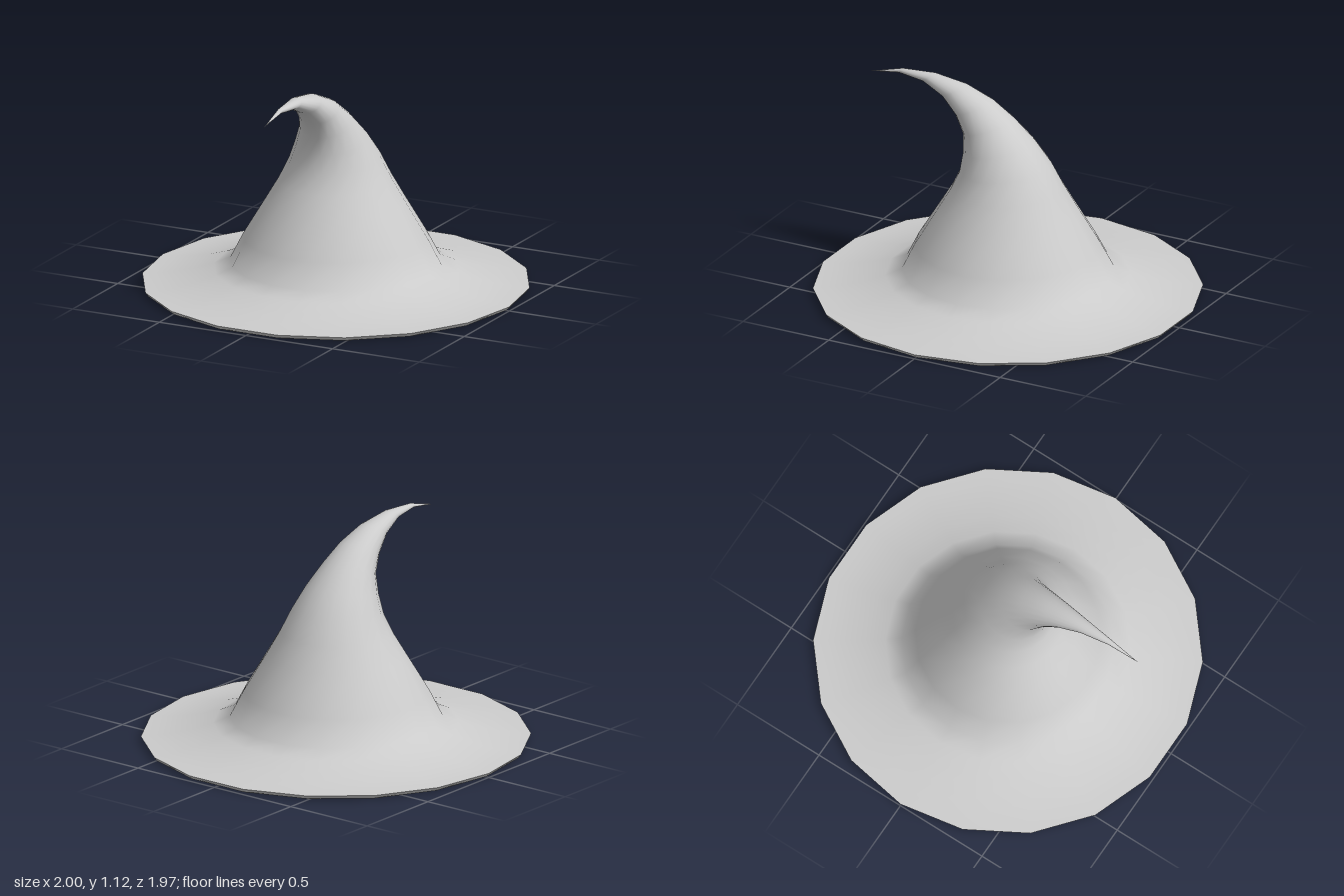
import * as THREE from 'three';

const SIDES = 18;

// Skin a stack of rings; each ring is [backZ, backY, frontZ, frontY], its diameter in the side plane
function skin(rings) {
  const positions = [], index = [];
  for (const [bz, by, fz, fy] of rings) {
    const cz = (bz + fz) / 2, cy = (by + fy) / 2;
    const dz = (fz - bz) / 2, dy = (fy - by) / 2;
    const radius = Math.hypot(dz, dy);
    for (let i = 0; i < SIDES; i++) {
      const a = (i / SIDES) * Math.PI * 2;
      positions.push(radius * Math.cos(a), cy + dy * Math.sin(a), cz + dz * Math.sin(a));
    }
  }
  for (let j = 0; j < rings.length - 1; j++) {
    for (let i = 0; i < SIDES; i++) {
      const k = (i + 1) % SIDES;
      const a = j * SIDES + i, b = j * SIDES + k;
      const c = a + SIDES, d = b + SIDES;
      index.push(a, c, b, b, c, d);
    }
  }
  const geometry = new THREE.BufferGeometry();
  geometry.setAttribute('position', new THREE.Float32BufferAttribute(positions, 3));
  geometry.setIndex(index);
  geometry.computeVertexNormals();
  return geometry;
}

const flatRing = (r, y) => [-r, y, r, y];

export function createModel() {
  const group = new THREE.Group();
  const felt = new THREE.MeshStandardMaterial({ color: 0xcccccc });
  felt.name = 'grey felt';

  // Flared brim flowing into a cone whose tip curls forward
  const upper = [
    flatRing(1.0, 0.022), flatRing(0.93, 0.026), flatRing(0.84, 0.037),
    flatRing(0.73, 0.06), flatRing(0.63, 0.091), flatRing(0.545, 0.128),
    [-0.475, 0.26, 0.48, 0.26],
    [-0.355, 0.465, 0.365, 0.45],
    [-0.285, 0.59, 0.298, 0.56],
    [-0.222, 0.712, 0.25, 0.66],
    [-0.132, 0.832, 0.236, 0.757],
    [-0.02, 0.942, 0.242, 0.85],
    [0.1, 1.028, 0.29, 0.938],
    [0.25, 1.092, 0.372, 1.018],
    [0.43, 1.122, 0.49, 1.072],
    [0.615, 1.112, 0.632, 1.087],
    [0.8, 1.06, 0.8, 1.06],
  ];
  const crown = new THREE.Mesh(skin(upper), felt);
  crown.name = 'crownAndBrim';
  group.add(crown);

  // Rim edge and closed flat underside
  const lower = [flatRing(0, 0), flatRing(0.9, 0), flatRing(0.985, 0.002), flatRing(1.0, 0.022)];
  const underside = new THREE.Mesh(skin(lower), felt);
  underside.name = 'underside';
  group.add(underside);

  return group;
}
